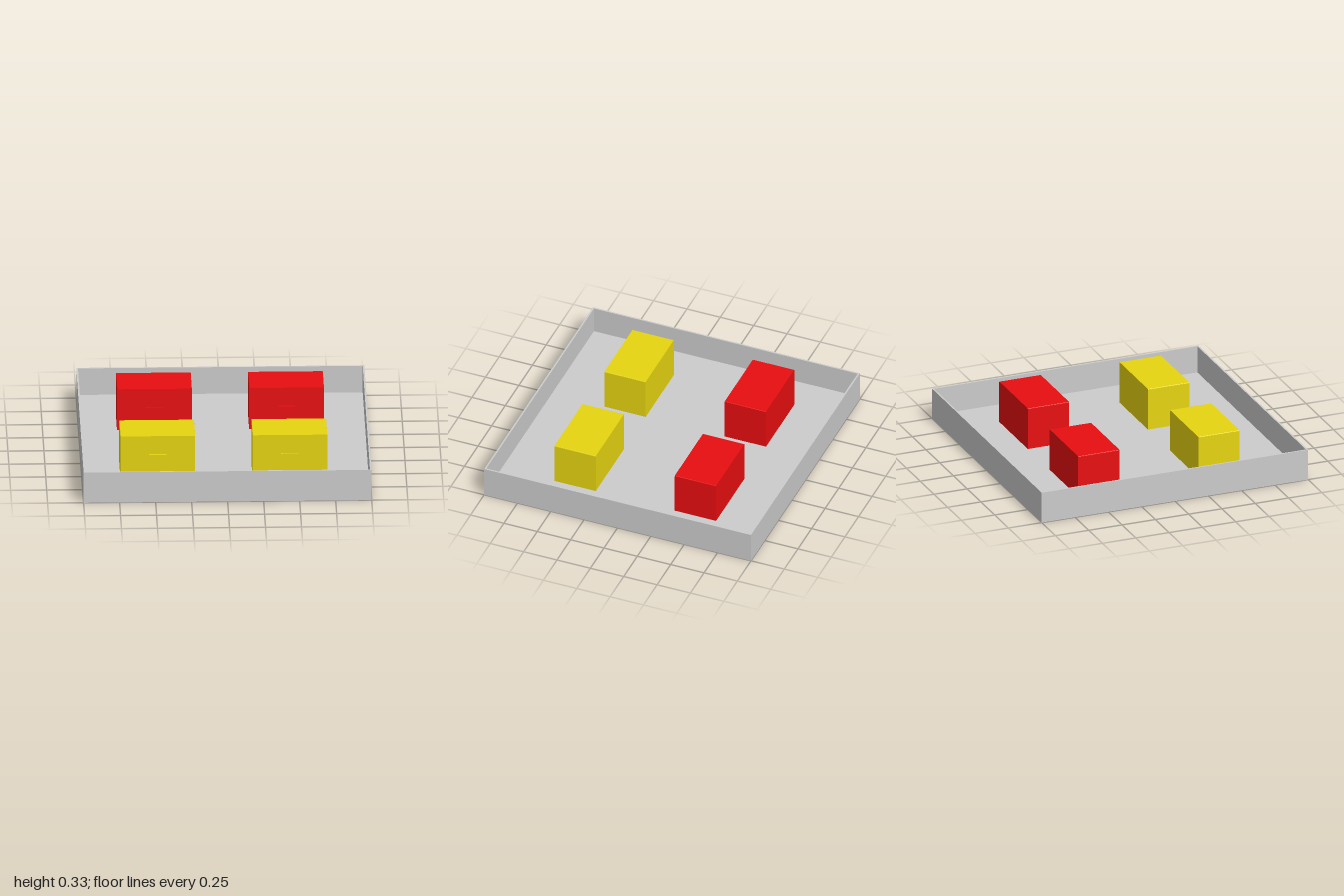
import * as THREE from 'three';

const GREY = new THREE.MeshStandardMaterial({ color: 0xcccccc });
const YELLOW = new THREE.MeshStandardMaterial({ color: 0xe6d410 });
const RED = new THREE.MeshStandardMaterial({ color: 0xe80e10 });

const TRAY_H = 0.225, WALL = 0.012, FLOOR_Y = 0.015, FLOOR_TOP = 0.028;
const BOX = { w: 0.52, h: 0.305, d: 0.31, panel: 0.015, r: 0.006 };

function add(group, name, geometry, material) {
  const mesh = new THREE.Mesh(geometry, material);
  mesh.name = name;
  group.add(mesh);
  return mesh;
}

// Corners of a rectangle centred on (0, cy)
function rectPoints(w, h, cy) {
  return [[-1, -1], [1, -1], [1, 1], [-1, 1]].map(
    ([x, y]) => new THREE.Vector2(x * w / 2, cy + y * h / 2));
}

// Front outline of a crate, with slightly softened top corners
function crateOutline() {
  const { w, h, r } = BOX, s = new THREE.Shape();
  s.moveTo(-w / 2, 0);
  s.lineTo(w / 2, 0);
  s.lineTo(w / 2, h - r);
  s.quadraticCurveTo(w / 2, h, w / 2 - r, h);
  s.lineTo(-w / 2 + r, h);
  s.quadraticCurveTo(-w / 2, h, -w / 2, h - r);
  s.closePath();
  return s;
}

function extrude(shape, depth) {
  return new THREE.ExtrudeGeometry(shape, { depth, bevelEnabled: false, curveSegments: 3 });
}

function makeCrate(material) {
  const crate = new THREE.Group();
  const { d, panel } = BOX;

  // Body behind the front panel
  add(crate, 'crateBody', extrude(crateOutline(), d - panel), material).position.z = -d / 2;

  // Front panel with the finger slot cut into it
  const face = crateOutline();
  face.holes.push(new THREE.Path(rectPoints(0.12, 0.043, 0.187).reverse()));
  add(crate, 'crateFrontPanel', extrude(face, panel), material).position.z = d / 2 - panel;
  return crate;
}

export function createModel() {
  const model = new THREE.Group();
  model.name = 'trayWithCrates';

  // Square rim around the tray
  const rim = new THREE.Shape(rectPoints(2, 2, 0));
  const inner = 2 - 2 * WALL;
  rim.holes.push(new THREE.Path(rectPoints(inner, inner, 0).reverse()));
  add(model, 'trayWalls', extrude(rim, TRAY_H).rotateX(-Math.PI / 2), GREY);

  // Floor, raised a little above the lower edge of the rim
  const floor = new THREE.BoxGeometry(inner, FLOOR_TOP - FLOOR_Y, inner);
  add(model, 'trayFloor', floor, GREY).position.y = (FLOOR_Y + FLOOR_TOP) / 2;

  // Two rows of crates: yellow in front, red behind
  const rows = [['yellowCrate', YELLOW, 0.44], ['redCrate', RED, -0.462]];
  for (const [name, material, z] of rows) {
    for (const [side, x] of [['Right', -0.475], ['Left', 0.442]]) {
      const crate = makeCrate(material);
      crate.name = name + side;
      crate.position.set(x, FLOOR_TOP, z);
      model.add(crate);
    }
  }
  return model;
}
